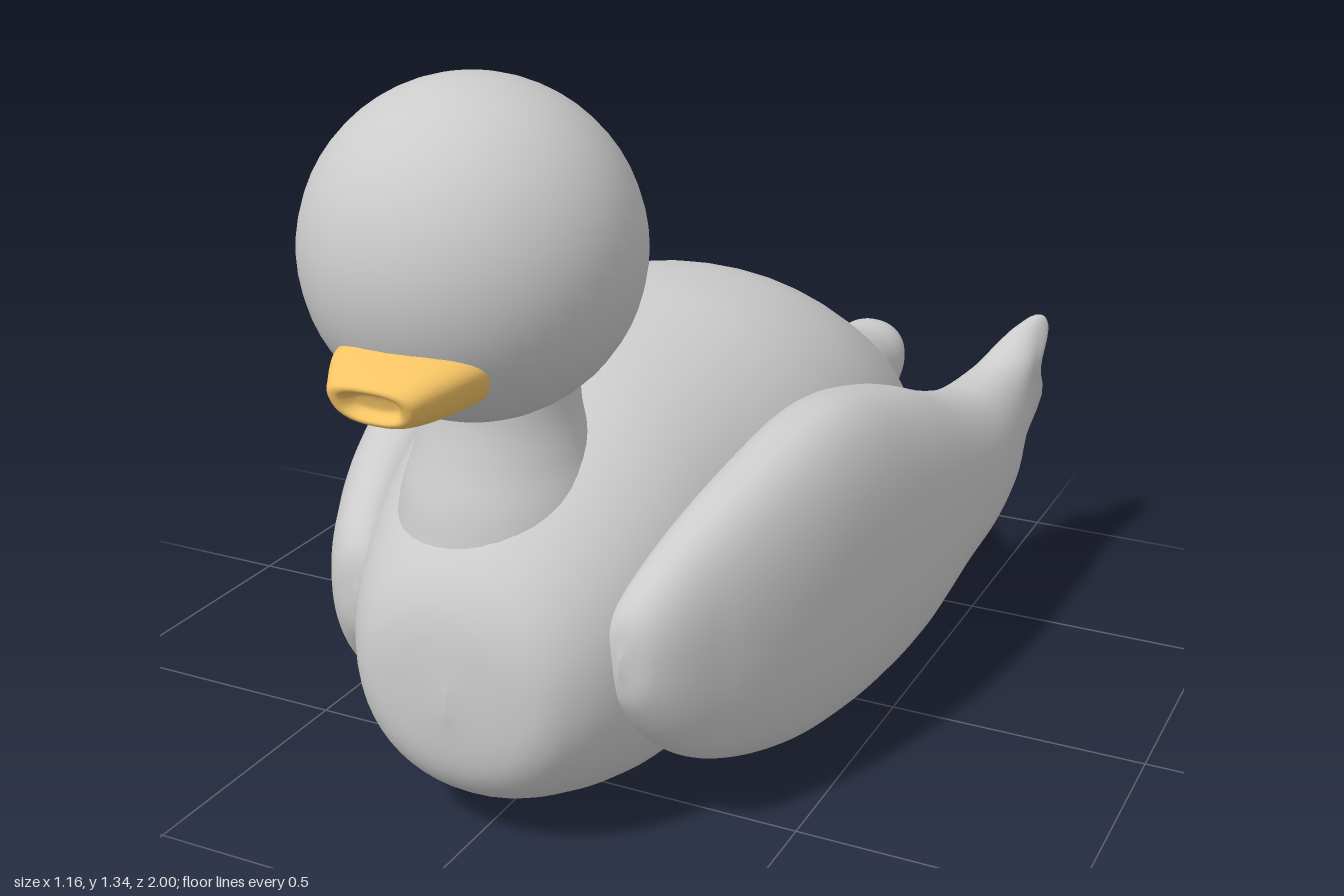
import * as THREE from 'three';

const grey = new THREE.MeshStandardMaterial({ color: 0xcccccc });
const yellow = new THREE.MeshStandardMaterial({ color: 0xf5c464 });

// Skin through rounded sections, listed front to back as [z, top, bottom, centreX, halfWidth].
// power shapes the rounding of the section; adjust moves each finished point.
function loft(sections, { power = 2, steps = 60, around = 48, adjust } = {}) {
  const heights = new THREE.CatmullRomCurve3(sections.map(s => new THREE.Vector3(s[0], s[1], s[2])));
  const widths = new THREE.CatmullRomCurve3(sections.map(s => new THREE.Vector3(s[3], s[4], s[0])));
  const rounded = v => Math.sign(v) * Math.abs(v) ** (2 / power);
  const positions = [], index = [], h = new THREE.Vector3(), w = new THREE.Vector3();
  for (let i = 0; i <= steps; i++) {
    heights.getPoint(i / steps, h);
    widths.getPoint(i / steps, w);
    for (let j = 0; j < around; j++) {
      const a = (j / around) * Math.PI * 2;
      const p = new THREE.Vector3(
        w.x + Math.max(w.y, 0) * rounded(Math.cos(a)),
        (h.y + h.z) / 2 + Math.max((h.y - h.z) / 2, 0) * rounded(Math.sin(a)),
        h.x
      );
      if (adjust) adjust(p);
      positions.push(p.x, p.y, p.z);
      if (i === steps) continue;
      const k = (j + 1) % around;
      const p0 = i * around + j, p1 = i * around + k;
      index.push(p0, p0 + around, p1, p1, p0 + around, p1 + around);
    }
  }
  const geometry = new THREE.BufferGeometry();
  geometry.setAttribute('position', new THREE.Float32BufferAttribute(positions, 3));
  geometry.setIndex(index);
  geometry.computeVertexNormals();
  return geometry;
}

function add(group, name, geometry, material = grey) {
  const mesh = new THREE.Mesh(geometry, material);
  mesh.name = name;
  group.add(mesh);
  return mesh;
}

// Plump wing whose rear edge is scalloped into three rounded feather tips
function wingGeometry(side, shift) {
  const sections = [
    [0.73, 0.39, 0.37, 0.27, 0.0],
    [0.71, 0.47, 0.29, 0.28, 0.05],
    [0.6, 0.56, 0.16, 0.315, 0.09],
    [0.4, 0.64, 0.08, 0.36, 0.125],
    [0.15, 0.68, 0.045, 0.39, 0.145],
    [-0.1, 0.63, 0.06, 0.41, 0.155],
    [-0.3, 0.555, 0.135, 0.445, 0.13],
    [-0.45, 0.52, 0.18, 0.47, 0.11],
    [-0.6, 0.535, 0.225, 0.49, 0.08],
    [-0.68, 0.59, 0.23, 0.505, 0.055],
    [-0.73, 0.6, 0.24, 0.515, 0.04],
    [-0.75, 0.57, 0.27, 0.515, 0.0]
  ].map(([z, top, bottom, x, half]) => [z, top, bottom, x * side, half]);
  return loft(sections, {
    power: 2.3,
    steps: 88,
    adjust: p => {
      const rear = THREE.MathUtils.smoothstep(-p.z, 0.55, 0.74);
      p.x += side * rear * (p.y - 0.42) * 0.15;
      p.z -= rear * 0.028 * Math.cos((p.y - 0.42) / 0.165 * Math.PI * 2) + shift;
    }
  });
}

export function createModel() {
  const model = new THREE.Group();
  model.name = 'duck';

  // Body: full chest, broad back, slim tail bent slightly to the left
  add(model, 'body', loft([
    [0.845, 0.32, 0.28, 0, 0.0],
    [0.825, 0.46, 0.16, 0, 0.16],
    [0.78, 0.54, 0.1, 0, 0.22],
    [0.68, 0.63, 0.05, 0, 0.28],
    [0.54, 0.72, 0.01, 0, 0.33],
    [0.4, 0.775, 0.0, 0, 0.36],
    [0.2, 0.81, 0.015, 0, 0.4],
    [0, 0.825, 0.035, 0, 0.42],
    [-0.2, 0.795, 0.055, 0, 0.42],
    [-0.4, 0.69, 0.1, 0.01, 0.375],
    [-0.6, 0.58, 0.16, 0.025, 0.25],
    [-0.75, 0.5, 0.21, 0.06, 0.145],
    [-0.85, 0.475, 0.25, 0.085, 0.095],
    [-0.94, 0.47, 0.31, 0.09, 0.082],
    [-0.985, 0.44, 0.35, 0.09, 0.05],
    [-1.0, 0.4, 0.385, 0.09, 0.0]
  ], { steps: 90, power: 2.15 }));

  // Neck flaring into the chest
  const neckProfile = new THREE.SplineCurve([
    [0.2, 0.48], [0.18, 0.6], [0.155, 0.68], [0.137, 0.76], [0.135, 0.86]
  ].map(p => new THREE.Vector2(...p))).getPoints(20);
  add(model, 'neck', new THREE.LatheGeometry(neckProfile, 40)).position.set(-0.03, 0, 0.58);

  // Head
  add(model, 'head', new THREE.SphereGeometry(0.29, 40, 28)).position.set(-0.035, 1.047, 0.65);

  // Beak: short flared bill with a dimpled tip, wider along its top
  add(model, 'beak', loft([
    [0.965, 0.885, 0.88, -0.025, 0.0],
    [0.968, 0.895, 0.865, -0.025, 0.04],
    [0.987, 0.905, 0.85, -0.025, 0.065],
    [0.985, 0.913, 0.843, -0.025, 0.08],
    [0.95, 0.93, 0.833, -0.025, 0.1],
    [0.89, 0.948, 0.83, -0.025, 0.125],
    [0.82, 0.955, 0.83, -0.025, 0.14]
  ], {
    power: 2.6,
    steps: 42,
    adjust: p => {
      p.x = -0.025 + (p.x + 0.025) * (1 + (p.y - 0.9) * 3);
      p.z += (p.y - 0.88) * 0.35;
    }
  }), yellow);

  // Wings
  add(model, 'leftWing', wingGeometry(1, 0));
  add(model, 'rightWing', wingGeometry(-1, 0.03));

  return model;
}
